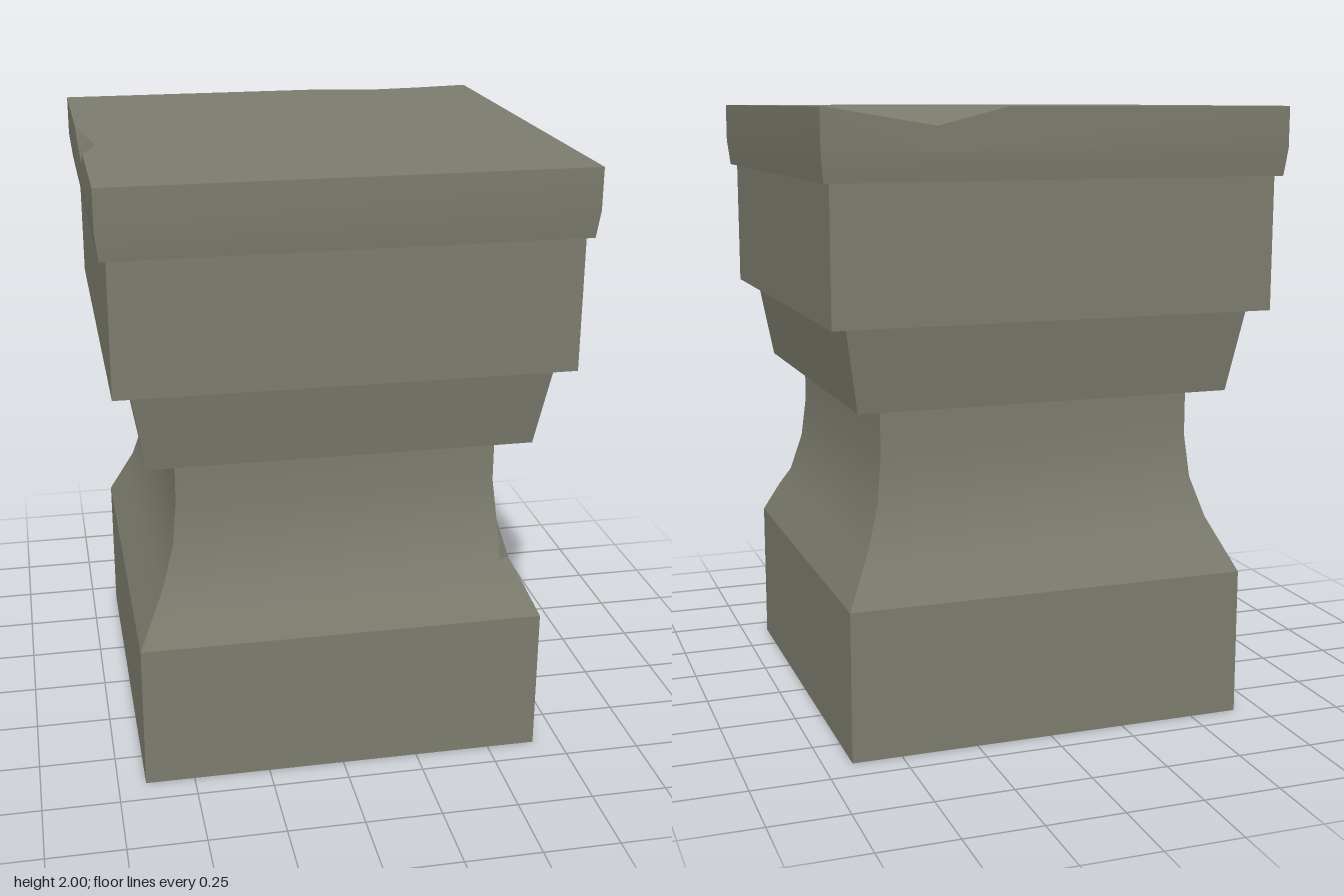
import * as THREE from 'three';
import { toCreasedNormals } from 'three/addons/utils/BufferGeometryUtils.js';

const material = new THREE.MeshStandardMaterial({ color: 0x7b7b6e });

// Collects triangles as a flat list, skipping those with no area
class Faces {
  constructor() { this.points = []; }

  fan(first, ...rest) {
    for (let i = 0; i + 1 < rest.length; i++) {
      const [a, b, c] = [first, rest[i], rest[i + 1]].map((p) => new THREE.Vector3(...p));
      const area = b.clone().sub(a).cross(c.clone().sub(a)).length();
      if (area > 1e-7) this.points.push(...first, ...rest[i], ...rest[i + 1]);
    }
  }

  loft(rings) {
    for (let r = 0; r + 1 < rings.length; r++) {
      const lower = rings[r], upper = rings[r + 1], n = lower.length;
      for (let i = 0; i < n; i++) {
        const j = (i + 1) % n;
        this.fan(lower[i], lower[j], upper[j], upper[i]);
      }
    }
  }

  mesh(name) {
    const geometry = new THREE.BufferGeometry();
    geometry.setAttribute('position', new THREE.Float32BufferAttribute(this.points, 3));
    const mesh = new THREE.Mesh(toCreasedNormals(geometry, 0.4), material);
    mesh.name = name;
    return mesh;
  }
}

// Square ring of half-width w at height y; the front right corner is doubled so it can be chipped
const ring = ([w, y]) => [[w, y, w], [w, y, -w], [-w, y, -w], [-w, y, w], [w, y, w]];

function squareBlock(name, profile) {
  const faces = new Faces();
  faces.loft(profile.map(ring));
  return faces.mesh(name);
}

// Plinth and curved neck, with a chip in one corner
function createShaft() {
  const profile = [[0.66, 0], [0.66, 0.485], [0.609, 0.59], [0.575, 0.66],
    [0.535, 0.79], [0.52, 0.93], [0.52, 1.09]];
  const rings = profile.map(ring);
  rings[3][0] = [0.575, 0.66, 0.555];
  rings[3][4] = [0.54, 0.66, 0.575];
  const faces = new Faces();
  faces.loft(rings);
  faces.fan(...rings[0].slice(0, 4).reverse());
  return faces.mesh('shaft');
}

// Top slab with chips broken from the back and left-hand edges
function createCap() {
  const w = 0.745, low = 1.87, top = 2;
  const faces = new Faces();
  faces.loft([[0.715, 1.785], [0.735, 1.785], [w, low]].map(ring));

  // Plain front and side walls
  faces.fan([-w, low, w], [w, low, w], [w, top, w], [-w, top, w]);
  faces.fan([w, low, w], [w, low, -w], [w, top, -w], [w, top, w]);

  // Back wall and its chip
  const backRim = [[0.18, top, -w], [0.40, top, -0.707], [0.56, top, -0.72], [0.73, top, -w]];
  const backDip = [0.40, 1.945, -w];
  faces.fan([0.40, low, -w], [-w, low, -w], [-w, top, -w], backRim[0], backDip,
    backRim[3], [w, top, -w], [w, low, -w]);
  faces.fan(backDip, ...backRim);

  // Other chipped wall
  const sideRim = [[-w, top, 0.28], [-0.698, top, 0.15], [-w, top, -0.2]];
  const sideDip = [-w, 1.945, 0.15];
  faces.fan([-w, low, 0.15], [-w, low, w], [-w, top, w], sideRim[0], sideDip,
    sideRim[2], [-w, top, -w], [-w, low, -w]);
  faces.fan(sideDip, ...sideRim);

  // Top surface following both chipped rims
  faces.fan([w, top, w], [w, top, -w], ...[...backRim].reverse(), [-w, top, -w],
    ...[...sideRim].reverse(), [-w, top, w]);
  return faces.mesh('cap');
}

export function createModel() {
  const group = new THREE.Group();
  group.name = 'stonePedestal';
  group.add(
    createShaft(),
    squareBlock('taperedCollar', [[0.52, 1.09], [0.615, 1.09], [0.66, 1.36]]),
    squareBlock('upperBlock', [[0.66, 1.36], [0.715, 1.36], [0.715, 1.785]]),
    createCap(),
  );
  return group;
}
